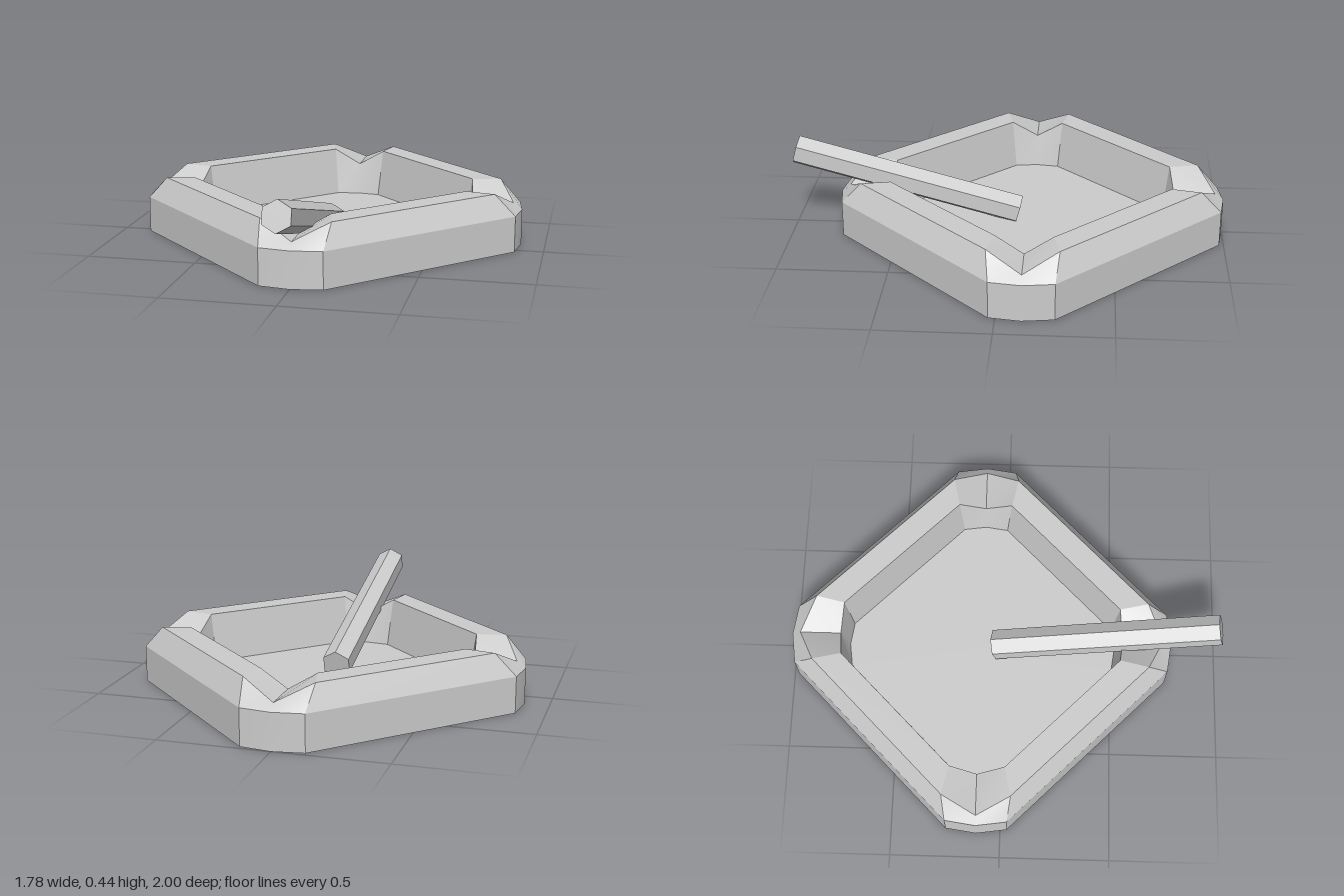
import * as THREE from 'three';
import { toCreasedNormals } from 'three/addons/utils/BufferGeometryUtils.js';

// Rim section from outside to inside. Each ring has four corners of three points:
// s, e, y = side points of a corner (offset, distance, height); m, my = its middle point
const RINGS = [
  { s: 0.14, e: 0.87, y: 0, m: 0.89, my: 0 },            // outer foot
  { s: 0.14, e: 0.87, y: 0.167, m: 0.89, my: 0.167 },    // top of outer wall
  { s: 0.155, e: 0.775, y: 0.27, m: 0.85, my: 0.195 },   // ridge, dipping into the notch
  { s: 0.125, e: 0.643, y: 0.27, m: 0.66, my: 0.195 },   // inner edge
  { s: 0.105, e: 0.615, y: 0.045, m: 0.63, my: 0.045 },  // floor edge
];

function ringPoints({ s, e, y, m, my }) {
  const points = [];
  for (let k = 0; k < 4; k++) {
    const turn = k * Math.PI / 2;
    for (const [x, h, z] of [[-s, y, e], [0, my, m], [s, y, e]]) {
      points.push(x * Math.cos(turn) + z * Math.sin(turn), h, z * Math.cos(turn) - x * Math.sin(turn));
    }
  }
  return points;
}

function indexed(positions, index) {
  const geometry = new THREE.BufferGeometry();
  geometry.setAttribute('position', new THREE.Float32BufferAttribute(positions, 3));
  geometry.setIndex(index);
  return toCreasedNormals(geometry, 0.4);
}

export function createModel() {
  const model = new THREE.Group();
  const sheet = new THREE.MeshStandardMaterial({ color: 0xcccccc, side: THREE.DoubleSide });
  const solid = new THREE.MeshStandardMaterial({ color: 0xcccccc, flatShading: true });

  const tray = new THREE.Group();
  tray.name = 'tray';
  tray.position.z = -0.11;
  model.add(tray);

  // Notched rim, open underneath
  const n = 12;
  const index = [];
  for (let j = 0; j < RINGS.length - 1; j++) {
    for (let i = 0; i < n; i++) {
      const a = j * n + i, b = j * n + (i + 1) % n;
      index.push(a, b, b + n, a, b + n, a + n);
    }
  }
  const rim = new THREE.Mesh(indexed(RINGS.flatMap(ringPoints), index), sheet);
  rim.name = 'rim';
  tray.add(rim);

  // Floor sheet
  const fan = [];
  for (let i = 0; i < n; i++) fan.push(n, i, (i + 1) % n);
  const edge = ringPoints(RINGS[RINGS.length - 1]);
  const floor = new THREE.Mesh(indexed([...edge, 0, 0.045, 0], fan), sheet);
  floor.name = 'floor';
  tray.add(floor);

  // Six-sided stick leaning through the front notch
  const stick = new THREE.Mesh(new THREE.CylinderGeometry(0.07, 0.07, 1.074, 6).rotateX(Math.PI / 2), solid);
  stick.name = 'cigarette';
  stick.rotation.x = -Math.PI / 12;
  stick.position.set(0, 0.229, 0.467);
  model.add(stick);

  return model;
}
